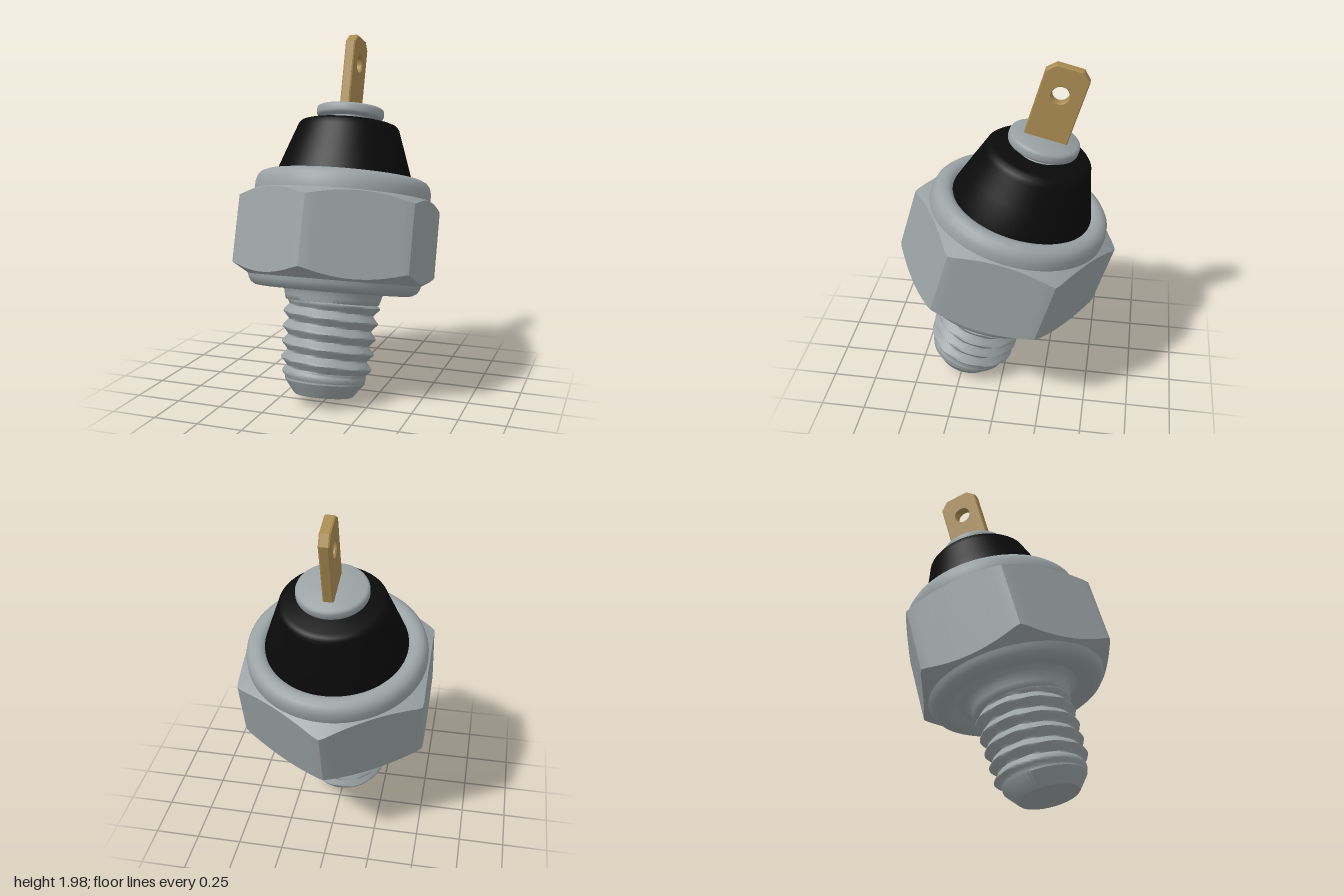
import * as THREE from 'three';
import { toCreasedNormals } from 'three/addons/utils/BufferGeometryUtils.js';

const steel = new THREE.MeshStandardMaterial({ name: 'steel', color: 0x9aa2a4 });
const black = new THREE.MeshStandardMaterial({ name: 'blackPlastic', color: 0x0a0a0a });
const brass = new THREE.MeshStandardMaterial({ name: 'brass', color: 0xa98b52 });

// The sensor is built upright along y, then leaned back with a slight skew
const pose = new THREE.Matrix4().makeTranslation(0, -0.007, 0)
  .multiply(new THREE.Matrix4().makeRotationX(THREE.MathUtils.degToRad(-14)))
  .multiply(new THREE.Matrix4().makeTranslation(0, 0, 0.243))
  .multiply(new THREE.Matrix4().makeShear(0, 0, 0, -0.043, 0, 0));

const lathe = (pts, segments = 72) =>
  new THREE.LatheGeometry(pts.map(([r, y]) => new THREE.Vector2(r, y)), segments);

// Moves each lathe vertex: rule(radius, height, angle) returns [radius, height]
function reshape(geo, rule) {
  const p = geo.attributes.position;
  for (let i = 0; i < p.count; i++) {
    const angle = Math.atan2(p.getX(i), p.getZ(i));
    const [r, y] = rule(Math.hypot(p.getX(i), p.getZ(i)), p.getY(i), angle);
    p.setXYZ(i, r * Math.sin(angle), y, r * Math.cos(angle));
  }
  return geo;
}

export function createModel() {
  const model = new THREE.Group();
  model.name = 'pressureSensor';

  function add(name, geo, material, crease = 0.6) {
    geo.applyMatrix4(pose);
    const mesh = new THREE.Mesh(toCreasedNormals(geo, crease), material);
    mesh.name = name;
    model.add(mesh);
  }

  // Tapered tip below the thread
  add('tip', lathe([[0, -0.012], [0.158, -0.012], [0.166, -0.004], [0.218, 0.062], [0.222, 0.12]]), steel);

  // Helical thread, fading out at both ends
  const y0 = 0.07, y1 = 0.52, pitch = 0.083, rows = 54;
  const rod = [];
  for (let i = 0; i <= rows; i++) rod.push([0.2, y0 + (y1 - y0) * i / rows]);
  const thread = reshape(lathe(rod), (r, y, angle) => {
    const turn = y / pitch + angle / (Math.PI * 2);
    const wave = 1 - 2 * Math.abs(turn - Math.floor(turn) - 0.5);
    const fade = Math.min(1, (y - y0) / 0.05, (y1 - y) / 0.04);
    const core = 0.218 + 0.05 * (y - y0);
    return [core + fade * (0.037 * (1 - wave) - 0.006), y];
  });
  add('thread', thread, steel, 0.9);

  // Plain neck flaring into the underside of the body
  add('neck', lathe([[0.225, 0.485], [0.258, 0.495], [0.266, 0.52], [0.272, 0.545],
    [0.29, 0.57], [0.33, 0.585]]), steel, 1);

  // Rounded shoulder under the hexagon
  add('lowerCollar', lathe([[0.27, 0.6], [0.33, 0.58], [0.36, 0.563], [0.4, 0.556], [0.435, 0.56],
    [0.46, 0.576], [0.475, 0.6], [0.485, 0.65]]), steel, 1);

  // Hexagon with conical chamfers, which leave curved edges on the flats
  const hexRadius = (angle) => {
    const step = Math.PI / 3;
    const a = ((angle % step) + step) % step - step / 2;
    return Math.min(0.5 / Math.cos(a), 0.572);
  };
  const hex = reshape(lathe([[0.43, 0.59], [0.5, 0.63], [0.5, 1.08], [0.43, 1.12]], 120), (r, y, angle) => {
    if (r < 0.45) return [r, y];
    const R = hexRadius(angle);
    return [R, y < 0.8 ? y + (R - 0.5) * 0.6 : y - (R - 0.5) * 0.55];
  });
  add('hexBody', hex, steel, 0.35);

  // Rolled rim that grips the insulator
  add('crimpedRim', lathe([[0.482, 1.04], [0.491, 1.08], [0.491, 1.13], [0.483, 1.16], [0.465, 1.183],
    [0.44, 1.194], [0.415, 1.194], [0.395, 1.186], [0.383, 1.17], [0.378, 1.14]]), steel, 1);

  // Black tapered insulator
  add('insulator', lathe([[0.388, 1.14], [0.385, 1.18], [0.338, 1.32], [0.291, 1.455],
    [0.284, 1.477], [0.27, 1.492], [0.25, 1.499], [0, 1.5]]), black, 0.7);

  // Contact post and washer
  add('contactPost', lathe([[0.14, 1.49], [0.115, 1.515], [0.12, 1.55]]), steel);
  add('washer', lathe([[0, 1.533], [0.175, 1.533], [0.186, 1.538], [0.19, 1.548], [0.19, 1.574],
    [0.186, 1.585], [0.175, 1.591], [0, 1.591]]), steel, 0.9);

  // Brass spade terminal with a round hole
  const w = 0.116, c = 0.046, top = 1.998;
  const outline = new THREE.Shape([[-w, 1.57], [w, 1.57], [w, top - c], [w - c, top], [-w + c, top], [-w, top - c]]
    .map(([x, y]) => new THREE.Vector2(x, y)));
  outline.holes.push(new THREE.Path().absarc(0.003, 1.846, 0.045, 0, Math.PI * 2, true));
  const blade = new THREE.ExtrudeGeometry(outline, {
    depth: 0.042, bevelEnabled: true, bevelThickness: 0.007, bevelSize: 0.005,
    bevelOffset: -0.005, bevelSegments: 1, curveSegments: 32,
  });
  blade.translate(0, 0, -0.021).rotateY(-Math.PI / 2);
  add('spadeTerminal', blade, brass, 0.5);

  return model;
}
